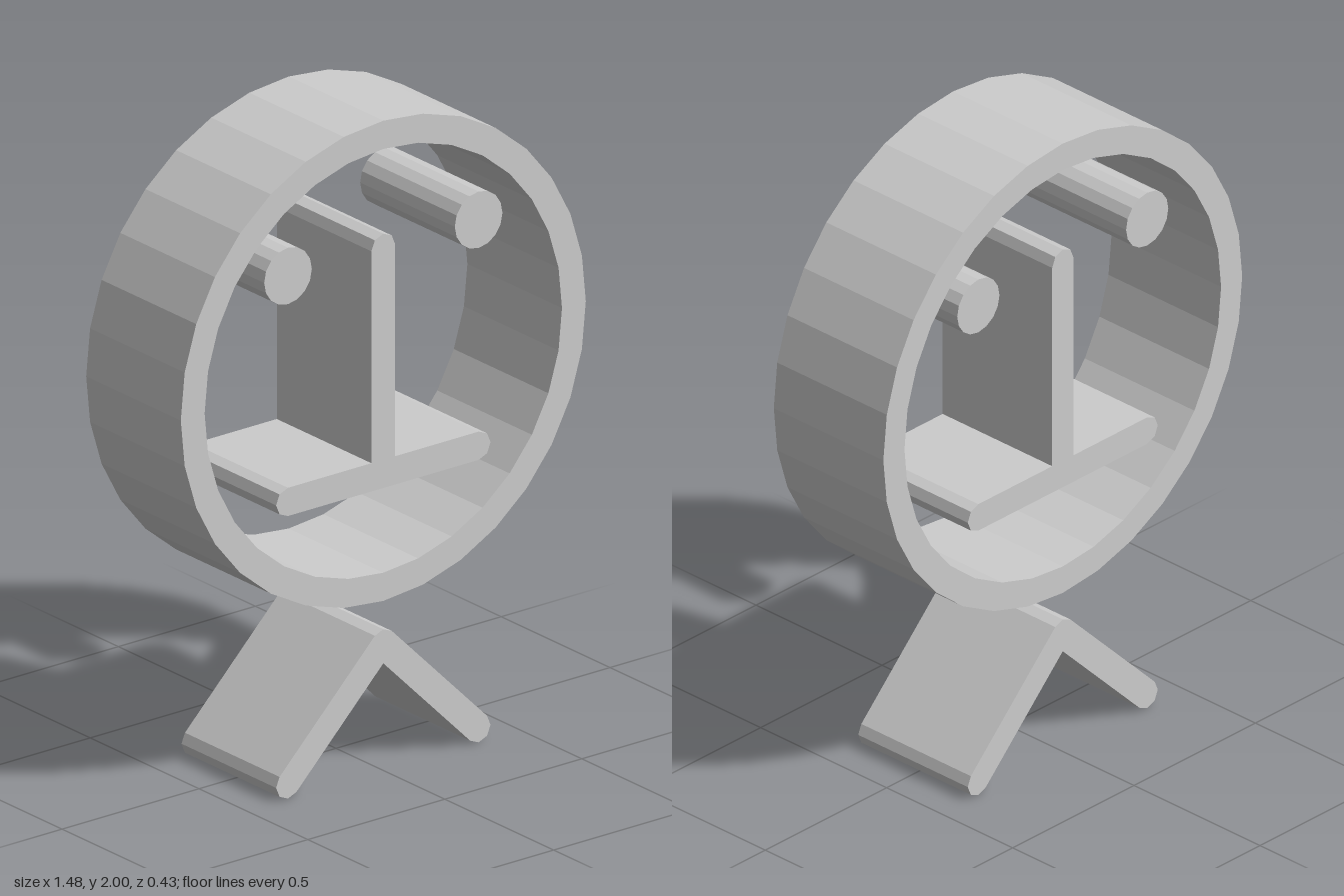
import * as THREE from 'three';

// The design sits on a grid 46 units tall, scaled to a height of 2.
const UNIT = 2 / 46;
const DEPTH = 10;

// Points along an arc, angles in degrees, counter-clockwise.
function arc(x, y, r, from, to, steps) {
  return Array.from({ length: steps + 1 }, (_, i) => {
    const a = THREE.MathUtils.degToRad(from + ((to - from) * i) / steps);
    return new THREE.Vector2(x + r * Math.cos(a), y + r * Math.sin(a));
  });
}

const circle = (x, y, r, sides) => arc(x, y, r, 0, 360, sides).slice(0, -1);

export function createModel() {
  const group = new THREE.Group();
  const grey = new THREE.MeshStandardMaterial({ color: 0xcccccc });
  grey.name = 'light grey';

  function addPart(name, outline, hole) {
    const shape = new THREE.Shape(outline);
    if (hole) shape.holes.push(new THREE.Path(hole));
    const geometry = new THREE.ExtrudeGeometry(shape, { depth: DEPTH, bevelEnabled: false });
    geometry.translate(0, 0, -DEPTH / 2);
    geometry.scale(UNIT, UNIT, UNIT);
    const mesh = new THREE.Mesh(geometry, grey);
    mesh.name = name;
    group.add(mesh);
  }

  // Round head
  addPart('headRing', circle(0, 29, 17, 32), circle(0, 29, 15, 32));

  // Eyes
  addPart('leftEye', circle(8, 37, 2, 16));
  addPart('rightEye', circle(-8, 37, 2, 16));

  // Nose standing on the mouth, all ends rounded
  addPart('noseAndMouth', [
    ...arc(8, 21, 1, -90, 90, 4),
    new THREE.Vector2(1, 22),
    ...arc(0, 37, 1, 0, 180, 4),
    new THREE.Vector2(-1, 22),
    ...arc(-8, 21, 1, 90, 270, 4),
  ]);

  // Chevron-shaped legs with rounded feet and apex
  addPart('legs', [
    ...arc(8, 1, 1, -135, 45, 4),
    ...arc(0, 9, 1, 45, 135, 2),
    ...arc(-8, 1, 1, 135, 315, 4),
    new THREE.Vector2(0, 9 - Math.SQRT2),
  ]);

  return group;
}
